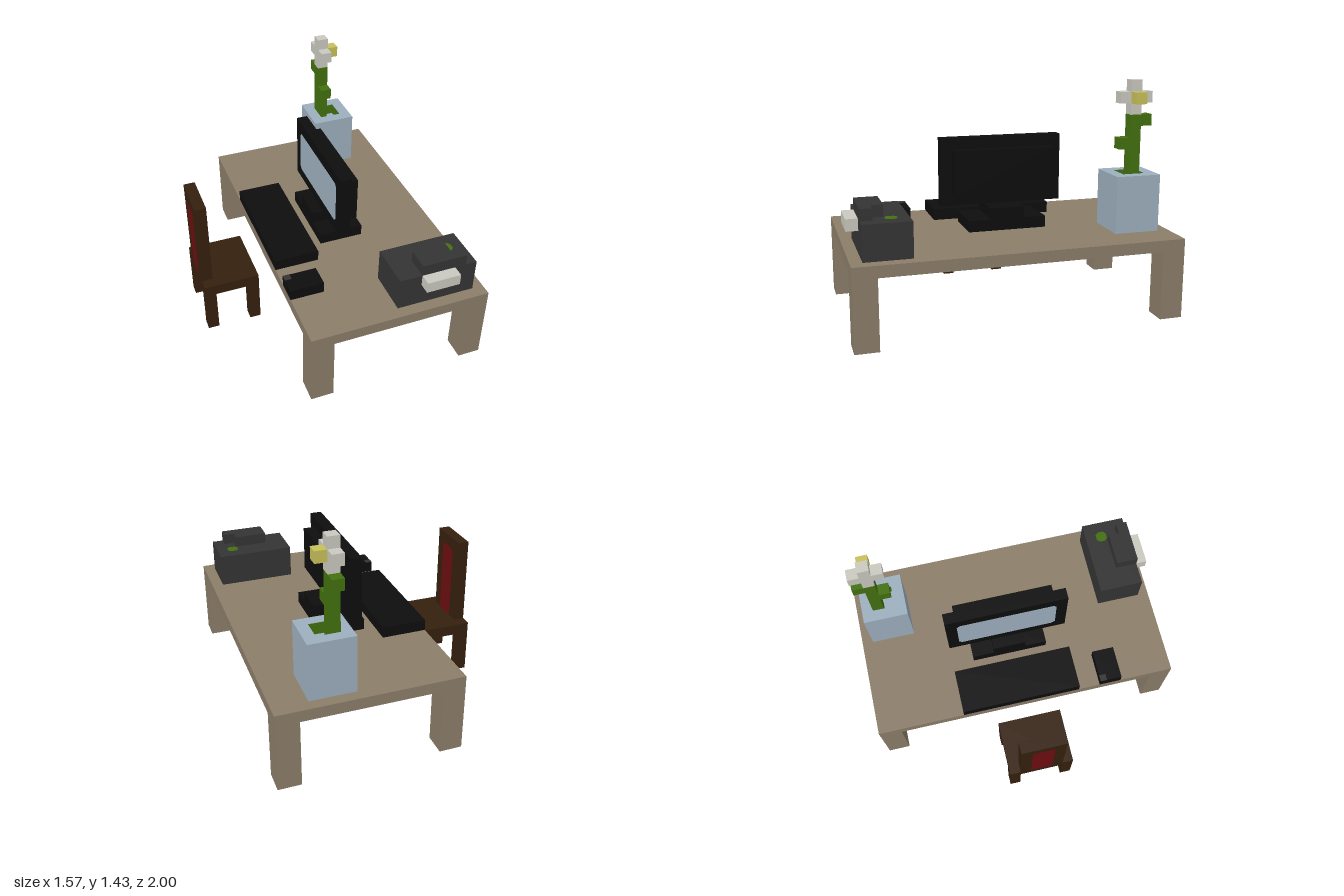
import * as THREE from 'three';

const mat = (name, color) => {
  const m = new THREE.MeshStandardMaterial({ color });
  m.name = name;
  return m;
};

export function createModel() {
  const tan = mat('tan wood', 0x8b7d69);
  const brown = mat('dark brown wood', 0x35200d);
  const red = mat('red cushion', 0x6c0d10);
  const black = mat('black plastic', 0x0d0d0e);
  const grey = mat('dark grey plastic', 0x343434);
  const white = mat('off white', 0xc9c9c0);
  const green = mat('green', 0x43700f);
  const yellow = mat('yellow', 0xc8c05a);
  const blue = mat('pale blue', 0x9cafbd);

  // One block of the grid is 1/14 unit
  const model = new THREE.Group();
  model.name = 'deskScene';
  const U = 1 / 14;

  const part = (name) => {
    const g = new THREE.Group();
    g.name = name;
    model.add(g);
    return g;
  };

  // Box from its limits, in grid blocks
  const box = (parent, name, m, x0, x1, y0, y1, z0, z1) => {
    const geo = new THREE.BoxGeometry((x1 - x0) * U, (y1 - y0) * U, (z1 - z0) * U);
    const mesh = new THREE.Mesh(geo, m);
    mesh.name = name;
    mesh.position.set((x0 + x1) / 2 * U, (y0 + y1) / 2 * U, (z0 + z1) / 2 * U);
    parent.add(mesh);
    return mesh;
  };

  // Flat panel with cut corners, facing +z before it is turned
  const panel = (parent, name, m, w, h, cut, pos, rot) => {
    const a = w / 2, b = h / 2;
    const corners = [[-a + cut, -b], [a - cut, -b], [a, -b + cut], [a, b - cut],
      [a - cut, b], [-a + cut, b], [-a, b - cut], [-a, -b + cut]];
    const shape = new THREE.Shape(corners.map(([x, y]) => new THREE.Vector2(x * U, y * U)));
    const mesh = new THREE.Mesh(new THREE.ShapeGeometry(shape), m);
    mesh.name = name;
    mesh.position.set(pos[0] * U, pos[1] * U, pos[2] * U);
    mesh.rotation.set(...rot);
    parent.add(mesh);
  };
  const lift = 0.03;
  const right = [0, -Math.PI / 2, 0], left = [0, Math.PI / 2, 0], up = [-Math.PI / 2, 0, 0];

  // Table
  const table = part('table');
  box(table, 'tableTop', tan, -5, 11, 6, 7, -14, 14);
  for (const x of [-5, 9]) for (const z of [-14, 12]) box(table, 'tableLeg', tan, x, x + 2, 0, 6, z, z + 2);

  // Chair with a red panel on both sides of the back
  const chair = part('chair');
  box(chair, 'seat', brown, -11, -6, 4, 5, -3, 3);
  for (const x of [-11, -7]) for (const z of [-3, 2]) box(chair, 'chairLeg', brown, x, x + 1, 0, 4, z, z + 1);
  box(chair, 'chairBack', brown, -11, -10, 5, 13, -2, 2);
  panel(chair, 'frontCushion', red, 2, 7, 0.25, [-10 + lift, 8.5, 0], left);
  panel(chair, 'rearCushion', red, 2, 7, 0.25, [-11 - lift, 8.5, 0], right);

  // Monitor, its screen facing the chair
  const monitor = part('monitor');
  box(monitor, 'monitorBase', black, 0, 4, 7, 8, -4, 3);
  box(monitor, 'monitorStand', black, 0, 4, 8, 9, -2, 1);
  box(monitor, 'monitorFrame', black, 1, 2, 9, 15, -6, 5);
  box(monitor, 'monitorBack', black, 2, 3, 10, 14, -5, 4);
  panel(monitor, 'screen', blue, 9, 4, 0.3, [1 - lift, 12, -0.5], right);

  // Keyboard and mouse
  box(model, 'keyboard', black, -5, -1, 7, 8, -6, 5);
  const mouse = part('mouse');
  box(mouse, 'mouseBody', black, -5, -2, 7, 8, 7, 9);
  box(mouse, 'mouseButton', grey, -5, -4.4, 8, 8.03, 7, 7.6);

  // Printer
  const printer = part('printer');
  box(printer, 'printerBody', grey, 3, 10, 7, 10, 9, 13);
  box(printer, 'printerLid', grey, 5, 8, 10, 11, 11, 13);
  box(printer, 'printerLidStep', grey, 8, 9, 10, 11, 12, 13);
  box(printer, 'paper', white, 5, 8, 9, 10, 13, 14);
  panel(printer, 'printerButton', green, 1, 1, 0.25, [8.5, 10 + lift, 10.5], up);

  // Hollow pot: floor, four rims and a green lining
  const pot = part('pot');
  box(pot, 'potFloor', blue, 4, 8, 7, 11, -13, -9);
  box(pot, 'potRim', blue, 4, 5, 11, 12, -13, -9);
  box(pot, 'potRim', blue, 7, 8, 11, 12, -13, -9);
  box(pot, 'potRim', blue, 5, 7, 11, 12, -13, -12);
  box(pot, 'potRim', blue, 5, 7, 11, 12, -10, -9);
  const lining = [[5 + lift, -11, left], [7 - lift, -11, right], [6, -12 + lift, [0, 0, 0]], [6, -10 - lift, [0, Math.PI, 0]]];
  for (const [x, z, rot] of lining) panel(pot, 'potLining', green, 2, 1, 0.02, [x, 11.5, z], rot);

  // Flower
  const flower = part('flower');
  box(flower, 'stem', green, 5, 6, 11, 17, -12, -11);
  box(flower, 'lowerLeaf', green, 5, 6, 14, 15, -11, -10);
  box(flower, 'upperLeaf', green, 5, 6, 16, 17, -13, -12);
  box(flower, 'petalColumn', white, 5, 6, 17, 20, -12, -11);
  box(flower, 'sidePetal', white, 5, 6, 18, 19, -13, -12);
  box(flower, 'sidePetal', white, 5, 6, 18, 19, -11, -10);
  box(flower, 'flowerHeart', yellow, 6, 7, 18, 19, -12, -11);

  return model;
}
